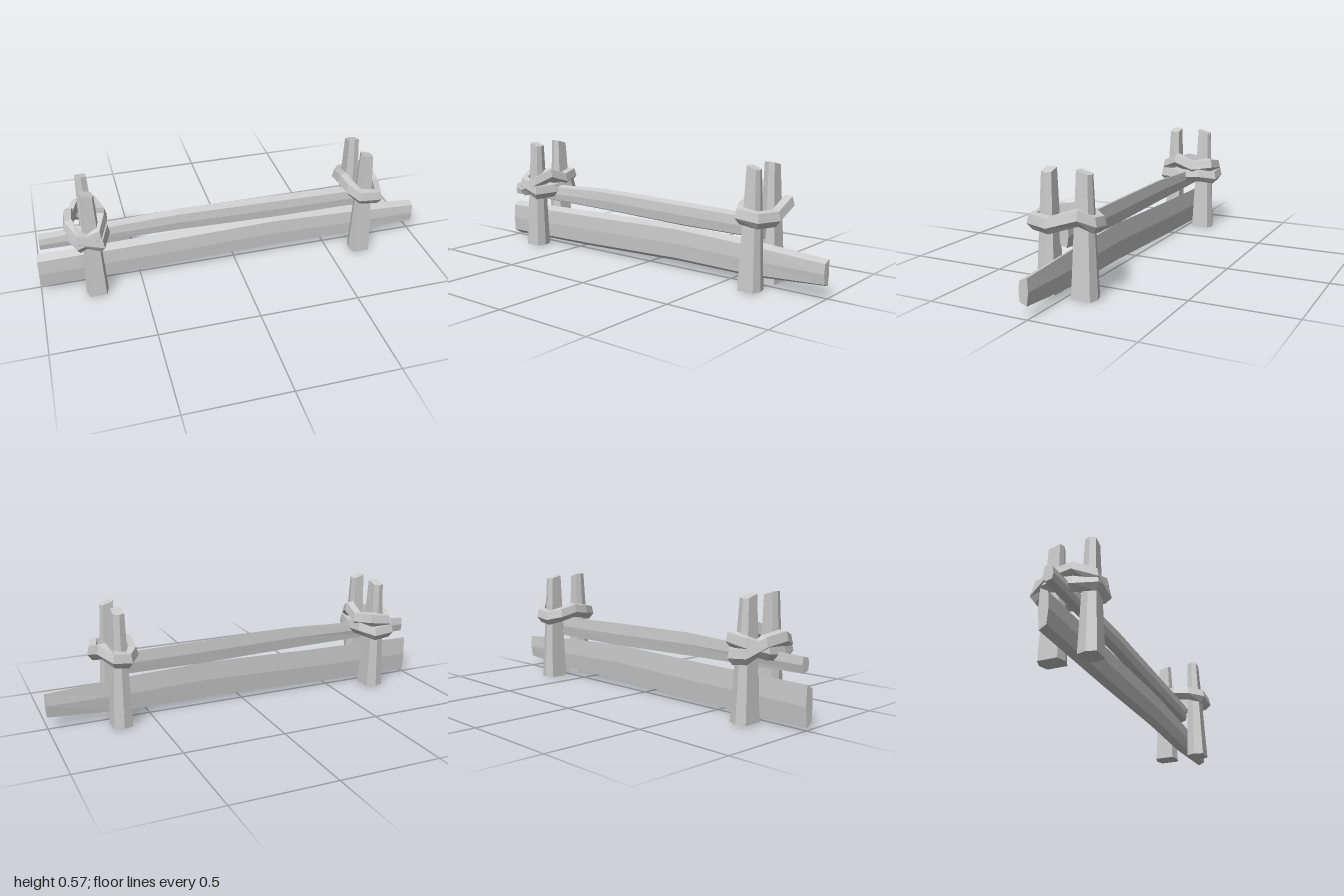
import * as THREE from 'three';

const material = new THREE.MeshStandardMaterial({ color: 0xcccccc, flatShading: true });

// Skins a list of equal-length cross-sections; closed joins the last to the first
function loft(name, sections, closed = false) {
  const pos = [];
  const tri = (a, b, c) => pos.push(...a, ...b, ...c);
  const n = sections[0].length;
  const count = closed ? sections.length : sections.length - 1;
  for (let i = 0; i < count; i++) {
    const s = sections[i], t = sections[(i + 1) % sections.length];
    for (let j = 0; j < n; j++) {
      const k = (j + 1) % n;
      tri(s[j], s[k], t[k]);
      tri(s[j], t[k], t[j]);
    }
  }
  if (!closed) {
    const s = sections[0], e = sections[sections.length - 1];
    for (let j = 1; j < n - 1; j++) {
      tri(s[0], s[j + 1], s[j]);
      tri(e[0], e[j], e[j + 1]);
    }
  }
  const geo = new THREE.BufferGeometry();
  geo.setAttribute('position', new THREE.Float32BufferAttribute(pos, 3));
  geo.computeVertexNormals();
  const mesh = new THREE.Mesh(geo, material);
  mesh.name = name;
  return mesh;
}

// Tapered six-sided stake with a slanted top
function post(name) {
  const hex = [[-0.75, 1], [0.75, 1], [1, 0], [0.75, -1], [-0.75, -1], [-1, 0]];
  const base = hex.map(([x, z]) => [x * 0.055, 0, z * 0.046]);
  const top = hex.map(([x, z]) => [x * 0.032, 0.562 - x * 0.01, z * 0.026 - 0.008]);
  return loft(name, [base, top]);
}

// Hewn plank along x from stations [x, bottom, top], bulging at mid height
function plank(name, stations) {
  return loft(name, stations.map(([x, lo, hi]) => {
    const mid = (lo + hi) / 2, s = (hi - lo) * 0.11;
    return [
      [x, hi, -0.003], [x, hi - s, 0.034], [x, mid, 0.039],
      [x, lo + s, 0.034], [x, lo, 0.001], [x, mid, -0.008],
    ];
  }));
}

// Chunky binding around a pair of posts, through points [x, y, z]
function binding(name, pts) {
  const profile = [[-0.02, 0.035], [0.015, 0.03], [0.025, -0.012], [0, -0.042], [-0.022, -0.02]];
  const n = pts.length;
  return loft(name, pts.map(([x, y, z], i) => {
    const a = pts[(i + n - 1) % n], b = pts[(i + 1) % n];
    const out = new THREE.Vector2(a[2] - b[2], b[0] - a[0]).normalize();
    return profile.map(([u, v]) => [x + out.x * u, y + v, z + out.y * u]);
  }), true);
}

export function createModel() {
  const model = new THREE.Group();
  model.name = 'fence';

  // Two pairs of stakes
  for (const [side, x] of [['left', 0.668], ['right', -0.73]]) {
    const front = post(side + 'FrontPost');
    front.position.set(x, 0, 0.099);
    const back = post(side + 'BackPost');
    back.position.set(x, 0, -0.082);
    back.rotation.y = Math.PI / 2;
    back.scale.set(1.15, 1, 1);
    model.add(front, back);
  }

  // Rails
  model.add(plank('lowerRail', [
    [-1, 0.01, 0.2], [-0.4, 0.018, 0.208], [0.2, 0.035, 0.222], [0.62, 0.032, 0.205], [1, 0.058, 0.178],
  ]));
  model.add(plank('upperRail', [
    [-0.975, 0.243, 0.317], [-0.3, 0.232, 0.345], [0.2, 0.219, 0.338], [0.68, 0.22, 0.328],
  ]));

  // Binding on the left pair
  const leftBinding = binding('leftBinding', [
    [-0.04, 0.35, 0.145], [0.055, 0.34, 0.147], [0.088, 0.338, 0.045], [0.075, 0.385, -0.095],
    [0.03, 0.35, -0.142], [-0.04, 0.34, -0.142], [-0.075, 0.355, -0.09], [-0.08, 0.375, 0], [-0.07, 0.365, 0.08],
  ]);
  leftBinding.position.x = 0.67;

  // Two crossed bindings on the right pair
  const rightBindings = new THREE.Group();
  rightBindings.name = 'rightBindings';
  rightBindings.position.x = -0.74;
  rightBindings.add(binding('lowerBinding', [
    [-0.05, 0.345, 0.137], [0.05, 0.305, 0.143], [0.08, 0.31, 0.04], [0.075, 0.32, -0.08],
    [0.03, 0.305, -0.148], [-0.05, 0.315, -0.148], [-0.08, 0.36, -0.07], [-0.09, 0.375, 0.05],
  ]));
  rightBindings.add(binding('upperBinding', [
    [-0.05, 0.315, 0.14], [0.04, 0.355, 0.135], [0.07, 0.395, 0.06], [0.08, 0.36, -0.04],
    [0.05, 0.375, -0.135], [-0.04, 0.36, -0.14], [-0.085, 0.33, -0.06], [-0.08, 0.31, 0.05],
  ]));
  model.add(leftBinding, rightBindings);

  return model;
}
